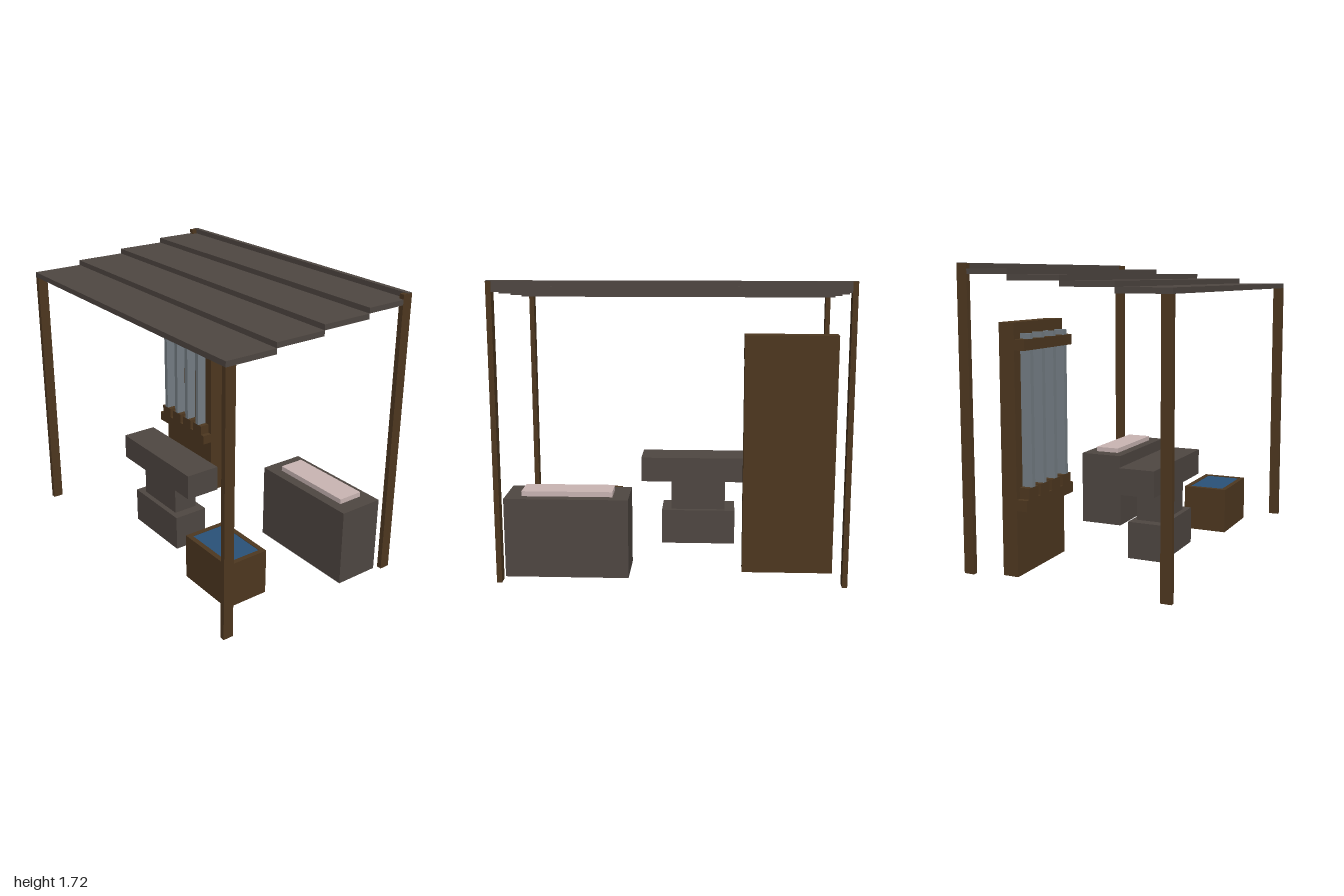
import * as THREE from 'three';

export function createModel() {
  const model = new THREE.Group();
  model.name = 'smithyShelter';

  const material = (name, color) => {
    const m = new THREE.MeshStandardMaterial({ color });
    m.name = name;
    return m;
  };
  const wood = material('dark wood', 0x4e3820);
  const stone = material('grey stone', 0x4f4742);
  const steel = material('steel', 0x757e85);
  const ash = material('pale ash', 0xcab6b4);
  const water = material('water', 0x2a5279);

  // Box given by its extents on each axis
  const box = (parent, name, mat, [x0, x1], [y0, y1], [z0, z1]) => {
    const mesh = new THREE.Mesh(new THREE.BoxGeometry(x1 - x0, y1 - y0, z1 - z0), mat);
    mesh.position.set((x0 + x1) / 2, (y0 + y1) / 2, (z0 + z1) / 2);
    mesh.name = name;
    parent.add(mesh);
  };
  const group = (name) => {
    const g = new THREE.Group();
    g.name = name;
    model.add(g);
    return g;
  };

  // Corner posts, taller at the back
  const posts = group('posts');
  for (const x of [[-1, -0.97], [0.97, 1]]) {
    box(posts, 'frontPost', wood, x, [0, 1.565], [0.5625, 0.625]);
    box(posts, 'backPost', wood, x, [0, 1.718], [-0.625, -0.5625]);
  }

  // Stepped roof, rising towards the back
  const roof = group('roof');
  const step = 0.03125;
  for (let i = 0; i < 4; i++) {
    const y = 1.565 + i * step;
    const front = 0.625 - i * 0.3125;
    const back = i < 3 ? front - 0.3125 : -0.5625;
    box(roof, 'roofSlab', stone, [-1, 1], [y, y + step], [back, front]);
  }
  box(roof, 'roofBackStrip', stone, [-0.97, 0.97], [1.659, 1.69], [-0.625, -0.5625]);
  box(roof, 'roofRidge', stone, [-0.999, 0.999], [1.69, 1.72], [-0.6245, -0.595]);

  // Tool rack: board, two rails, and rods standing in raised blocks
  const rack = group('toolRack');
  box(rack, 'rackBoard', wood, [-0.94, -0.41], [0, 1.405], [-0.406, -0.3125]);
  box(rack, 'upperRail', wood, [-0.94, -0.41], [1.255, 1.315], [-0.3125, -0.249]);
  box(rack, 'lowerRail', wood, [-0.94, -0.41], [0.375, 0.4375], [-0.3125, -0.25]);
  for (let i = 0; i < 4; i++) {
    const x = -0.862 + i * 0.125;
    box(rack, 'rackBlock', wood, [x - 0.047, x + 0.047], [0.4375, 0.5], [-0.3125, -0.25]);
    box(rack, 'steelRod', steel, [x - 0.0156, x + 0.0156], [0.5, 1.345], [-0.3125, -0.25]);
  }

  // Anvil
  const anvil = group('anvil');
  box(anvil, 'anvilBase', stone, [-0.375, 0.09], [0, 0.22], [0.095, 0.3125]);
  box(anvil, 'anvilNeck', stone, [-0.3125, 0.03], [0.22, 0.41], [0.125, 0.28]);
  box(anvil, 'anvilHead', stone, [-0.5, 0.22], [0.41, 0.565], [0.095, 0.3125]);

  // Forge with a bed of ash
  const forge = group('forge');
  box(forge, 'forgeBlock', stone, [0.25, 0.969], [0, 0.47], [-0.53, -0.25]);
  box(forge, 'ashBed', ash, [0.345, 0.875], [0.47, 0.5], [-0.47, -0.3125]);

  // Water trough: body, rim and water surface
  const trough = group('waterTrough');
  const rimY = [0.27, 0.28];
  box(trough, 'troughBody', wood, [0.375, 0.78], [0, 0.27], [0.16, 0.4375]);
  for (const z of [[0.16, 0.19], [0.4075, 0.4375]]) box(trough, 'longRim', wood, [0.375, 0.78], rimY, z);
  for (const x of [[0.375, 0.405], [0.75, 0.78]]) box(trough, 'shortRim', wood, x, rimY, [0.19, 0.4075]);
  box(trough, 'waterSurface', water, [0.405, 0.75], [0.27, 0.277], [0.19, 0.4075]);

  return model;
}
